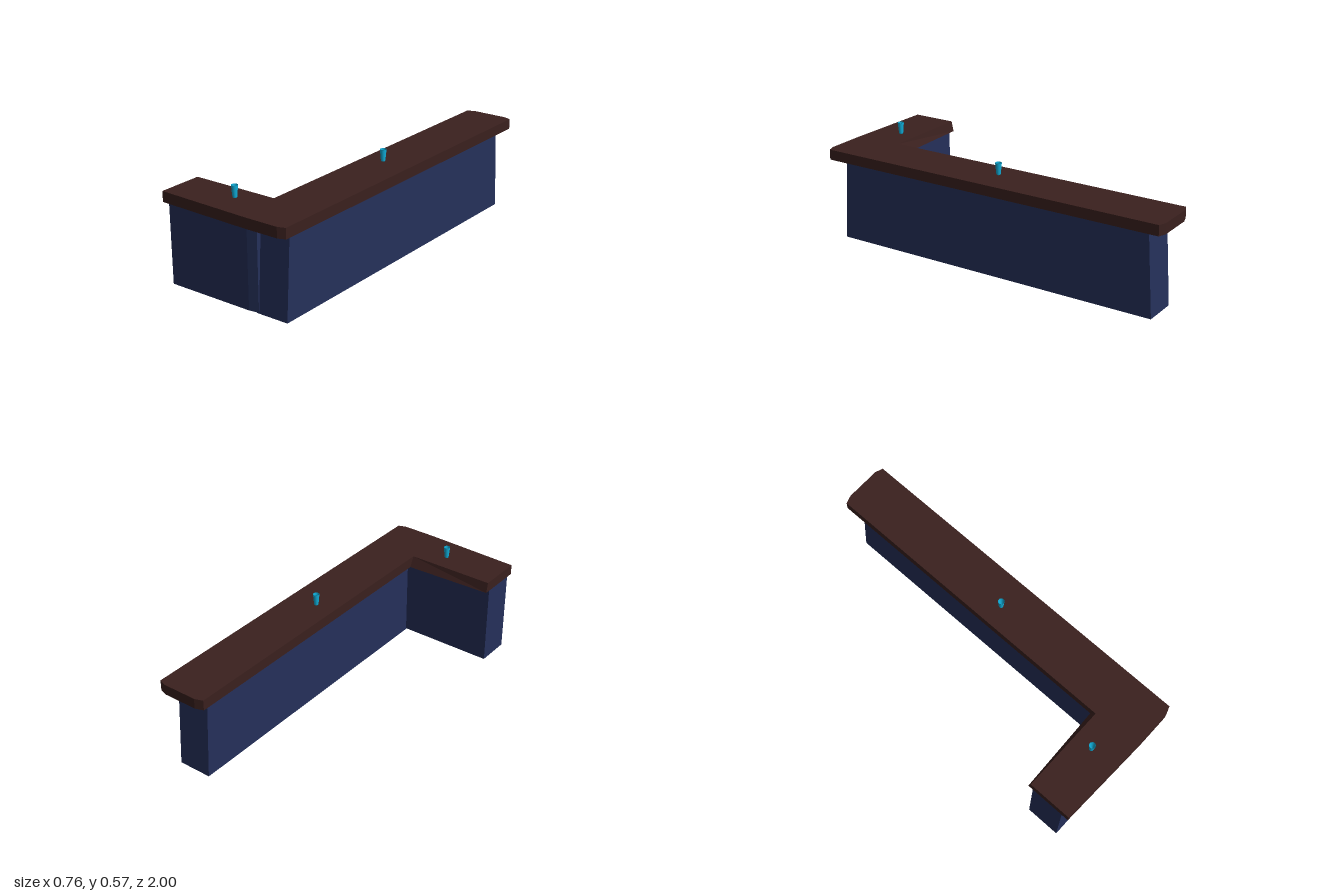
import * as THREE from 'three';

const navy = new THREE.MeshStandardMaterial({ color: 0x25305a, flatShading: true });
const wood = new THREE.MeshStandardMaterial({ color: 0x3a201e, flatShading: true });
const glass = new THREE.MeshStandardMaterial({ color: 0x10b0dc, side: THREE.DoubleSide });

// Upright prism from an [x, z] outline; lean(v, t) shifts corners, t = 0 at the bottom, 1 at the top
function prism(name, outline, y0, y1, material, lean) {
  const shape = new THREE.Shape(outline.map(([x, z]) => new THREE.Vector2(x, -z)));
  const geo = new THREE.ExtrudeGeometry(shape, { depth: y1 - y0, bevelEnabled: false });
  geo.rotateX(-Math.PI / 2).translate(0, y0, 0);
  const pos = geo.attributes.position;
  const v = new THREE.Vector3();
  for (let i = 0; i < pos.count; i++) {
    v.fromBufferAttribute(pos, i);
    lean(v, (v.y - y0) / (y1 - y0));
    pos.setXYZ(i, v.x, v.y, v.z);
  }
  geo.computeVertexNormals();
  const mesh = new THREE.Mesh(geo, material);
  mesh.name = name;
  return mesh;
}

// Small tapered tumbler with a narrow foot and a hollow inside
function tumbler(name, x, z) {
  const profile = [
    [0, 0], [0.009, 0], [0.0115, 0.004], [0.0172, 0.064],
    [0.0155, 0.064], [0.0105, 0.008], [0, 0.008],
  ].map(([r, y]) => new THREE.Vector2(r, y));
  const mesh = new THREE.Mesh(new THREE.LatheGeometry(profile, 20), glass);
  mesh.name = name;
  mesh.position.set(x, 0.506, z);
  return mesh;
}

export function createModel() {
  const group = new THREE.Group();
  group.name = 'barCounter';

  // Long base, its two ends leaning inwards towards the top
  group.add(prism('longBase',
    [[0.152, 0.935], [0.337, 0.935], [0.337, -0.94], [0.152, -0.94]],
    0, 0.452, navy, (v, t) => { v.z -= Math.sign(v.z) * 0.028 * t; }));

  // Short base, with a slightly turned front corner where it meets the long one
  group.add(prism('shortBase',
    [[-0.38, 0.942], [0.112, 0.945], [0.166, 0.936], [0.166, 0.755], [-0.38, 0.755]],
    0.005, 0.452, navy, (v, t) => { if (v.x < 0) v.x -= 0.002 * t; }));

  // L-shaped counter top; the inner edge of the short arm slopes outwards at the bottom
  group.add(prism('counterTop',
    [[-0.382, 0.982], [0.15, 1], [0.34, 1], [0.381, 0.985], [0.381, -0.985], [0.34, -1],
      [0.15, -1], [0.105, -0.985], [0.105, 0.738], [-0.382, 0.738]],
    0.45, 0.506, wood, (v, t) => {
      if (Math.abs(v.z - 0.738) < 0.01) v.z -= (1 - t) * (v.x > 0 ? 0.028 : 0.012);
    }));

  group.add(tumbler('shortArmGlass', -0.048, 0.84));
  group.add(tumbler('longArmGlass', 0.217, 0.008));
  return group;
}
